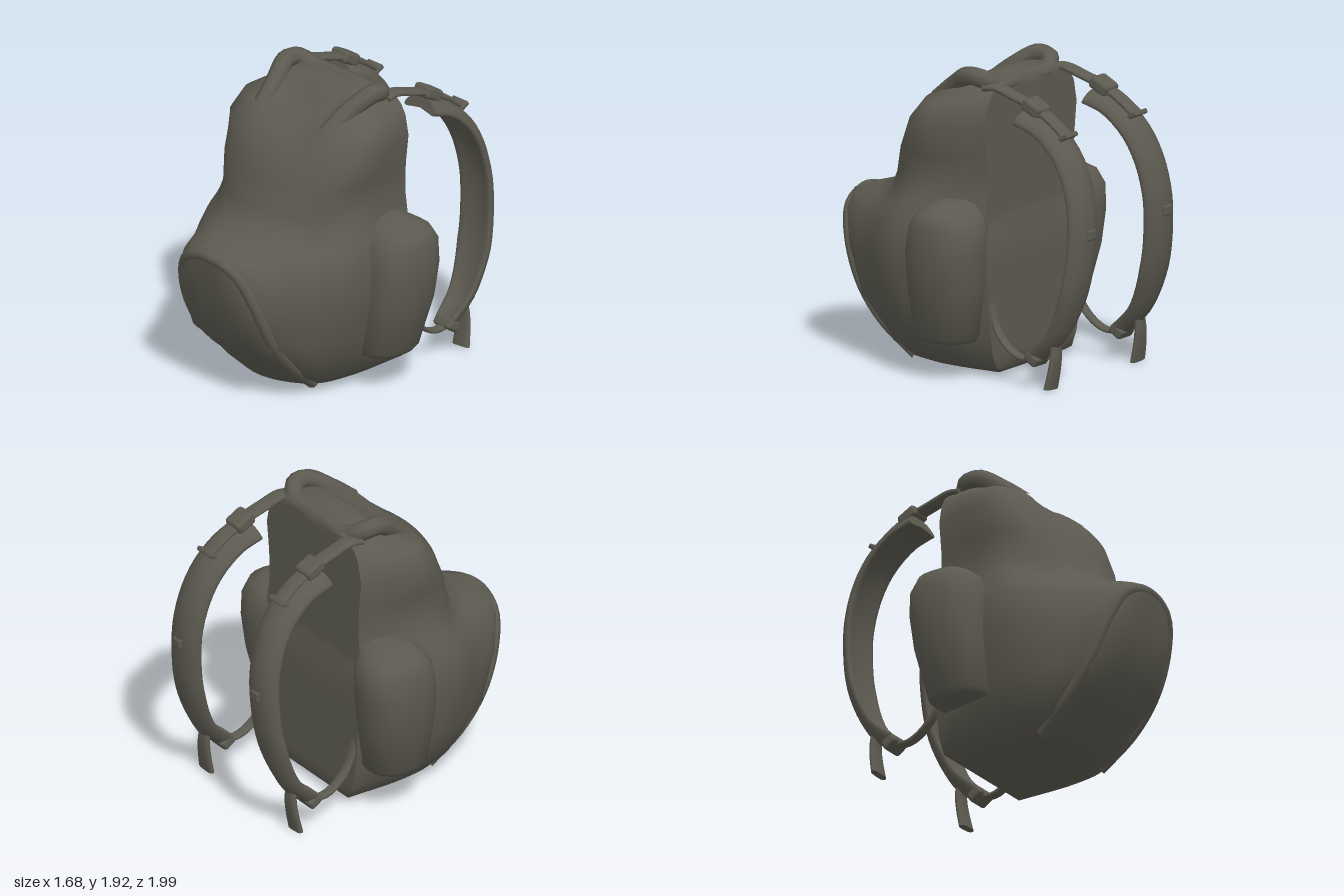
import * as THREE from 'three';
import { toCreasedNormals } from 'three/addons/utils/BufferGeometryUtils.js';
import { RoundedBoxGeometry } from 'three/addons/geometries/RoundedBoxGeometry.js';

const V = (x, y, z) => new THREE.Vector3(x, y, z);

// Skin a stack of closed rings and cap both ends; s = -1 mirrors across x.
function loft(rings, s = 1) {
  const n = rings[0].length, pos = [], idx = [];
  const tri = (a, b, c) => (s > 0 ? idx.push(a, b, c) : idx.push(a, c, b));
  rings.forEach(r => r.forEach(p => pos.push(p.x * s, p.y, p.z)));
  for (let i = 0; i < rings.length - 1; i++)
    for (let j = 0; j < n; j++) {
      const a = i * n + j, b = i * n + (j + 1) % n;
      tri(a, b, b + n);
      tri(a, b + n, a + n);
    }
  [0, rings.length - 1].forEach(i => {
    const c = rings[i].reduce((m, p) => m.add(p), V(0, 0, 0)).divideScalar(n);
    const k = pos.length / 3;
    pos.push(c.x * s, c.y, c.z);
    for (let j = 0; j < n; j++) {
      const a = i * n + j, b = i * n + (j + 1) % n;
      if (i) tri(a, b, k); else tri(b, a, k);
    }
  });
  const g = new THREE.BufferGeometry();
  g.setAttribute('position', new THREE.Float32BufferAttribute(pos, 3));
  g.setIndex(idx);
  return toCreasedNormals(g, 1.1);
}

// The straps spread slightly apart towards the bottom.
const strapX = y => .47 - .06 * y;

// Rounded band swept along (y, z) points; cup bends its edges inwards.
function band(path, width, thick, s, cup = 0) {
  const curve = new THREE.CatmullRomCurve3(path.map(([y, z]) => V(strapX(y), y, z)));
  const rings = [], steps = 28;
  for (let i = 0; i <= steps; i++) {
    const t = i / steps, p = curve.getPointAt(t), d = curve.getTangentAt(t);
    const side = V(1, 0, 0).addScaledVector(d, -d.x).normalize();
    const up = d.clone().cross(side), ring = [];
    for (let j = 0; j < 16; j++) {
      const a = j / 16 * Math.PI * 2, c = Math.cos(a);
      const u = Math.sign(c) * Math.sqrt(Math.abs(c));
      ring.push(p.clone().addScaledVector(side, u * width(t) / 2)
        .addScaledVector(up, Math.sin(a) * thick / 2 + cup * u * u));
    }
    rings.push(ring);
  }
  return loft(rings, s);
}

// Body sections: y, then half width and z at the flank and at the shoulder,
// half width of the front lobe, front z.
const BODY = [
  [.02, .30, .12, .26, .30, .14, .45],
  [.06, .40, .14, .34, .38, .18, .54],
  [.15, .48, .18, .40, .47, .23, .63],
  [.28, .54, .25, .43, .56, .27, .73],
  [.40, .58, .29, .46, .61, .29, .86],
  [.70, .64, .33, .47, .66, .29, .95],
  [.90, .63, .34, .44, .66, .25, .98],
  [.99, .60, .33, .40, .62, .16, .99],
  [1.04, .58, .31, .39, .55, .15, .82],
  [1.09, .56, .29, .41, .49, .20, .66],
  [1.20, .52, .22, .43, .43, .22, .60],
  [1.38, .53, .17, .46, .39, .25, .53],
  [1.58, .59, .18, .49, .31, .27, .44],
  [1.71, .52, .15, .42, .24, .23, .32],
  [1.77, .43, .00, .35, .12, .20, .18],
  [1.83, .35, -.08, .28, .00, .17, .05],
  [1.855, .27, -.10, .20, -.05, .10, .0],
];

function bodyGeometry() {
  return loft(BODY.map(([y, wm, zm, ws, zs, wf, zf]) => {
    // Flat back panel, a little thicker below
    const wb = Math.min(wm, .26 + .4 * wm), zb = y < .05 || y > 1.85 ? -.22 : y < .95 ? -.28 : -.25;
    const half = [[wb, zb], [wm, zm], [ws, zs], [wf, zf - .04]];
    const pts = [...half.map(([x, z]) => V(-x, y, z)), V(0, y, zf),
      ...half.reverse().map(([x, z]) => V(x, y, z))];
    const ring = new THREE.CatmullRomCurve3(pts, false, 'centripetal').getPoints(40);
    [.5, 0, -.5].forEach(f => ring.push(V(wb * f, y, zb)));
    // Sagging scoop in the lid between the handle ends
    ring.forEach(p => {
      if (y > 1.65 && p.z > .03 && Math.abs(p.x) < .28)
        p.y -= .075 * Math.cos(p.x / .28 * Math.PI / 2) * Math.min(1, p.z / .14);
    });
    return ring;
  }));
}

// Side pouch sections: y, outer x, front z, back z
const POUCH = [
  [.25, .70, .17, -.19], [.28, .72, .19, -.22], [.60, .81, .20, -.28], [.82, .84, .20, -.30],
  [.98, .825, .18, -.30], [1.06, .80, .13, -.25], [1.10, .73, .08, -.19], [1.125, .65, .02, -.12],
];

function pouchGeometry(s) {
  const square = v => Math.sign(v) * Math.pow(Math.abs(v), .85);
  const inner = .4;
  return loft(POUCH.map(([y, outer, zf, zb]) => {
    const ring = [];
    for (let i = 0; i < 20; i++) {
      const a = i / 20 * Math.PI * 2;
      ring.push(V((outer + inner) / 2 + square(Math.sin(a)) * (outer - inner) / 2, y,
        (zf + zb) / 2 + square(Math.cos(a)) * (zf - zb) / 2));
    }
    return ring;
  }), s);
}

// Tube along a path mirrored about its last point, which lies on x = 0.
function archTube(half, r) {
  const pts = [...half, ...half.slice(0, -1).reverse().map(([x, y, z]) => [-x, y, z])];
  return new THREE.TubeGeometry(new THREE.CatmullRomCurve3(pts.map(p => V(...p))), 48, r, 8);
}

export function createModel() {
  const group = new THREE.Group();
  const canvas = new THREE.MeshStandardMaterial({ color: 0x5c5a50 });
  canvas.name = 'dark olive canvas';
  const add = (name, geo, parent = group) => {
    const m = new THREE.Mesh(geo, canvas);
    m.name = name;
    parent.add(m);
    return m;
  };

  add('body', bodyGeometry());

  // Raised seam arching over the front pocket
  add('pocketSeam', archTube([[-.31, .06, .38], [-.34, .25, .60], [-.34, .45, .755],
    [-.31, .7, .865], [-.22, .9, .93], [0, .975, .955]], .04));

  // Carry handle: two arms running back and a bar along the rear edge
  add('handle', archTube([[-.29, 1.67, .24], [-.32, 1.78, .10], [-.37, 1.87, -.05],
    [-.36, 1.86, -.14], [-.27, 1.81, -.19], [0, 1.81, -.19]], .06));

  for (const s of [1, -1]) {
    const side = s > 0 ? 'left' : 'right';

    // The right pouch sits slightly higher and further back
    const pouch = add(side + 'Pouch', pouchGeometry(s));
    if (s < 0) pouch.position.set(0, .04, -.03);

    const strap = new THREE.Group();
    strap.name = side + 'Strap';
    group.add(strap);
    const box = (name, w, h, d, y, z, tilt) => {
      const m = add(name, new RoundedBoxGeometry(w, h, d, 2, Math.min(w, h, d) * .3), strap);
      m.position.set(strapX(y) * s, y, z);
      m.rotation.x = tilt;
    };

    // Padded shoulder section, narrowing towards the buckle
    add('pad', band([[1.69, -.48], [1.64, -.63], [1.505, -.79], [1.33, -.89], [1.1, -.945],
      [.9, -.945], [.7, -.92], [.5, -.86], [.33, -.77], [.2, -.63]],
      t => .27 - .12 * Math.max(0, (t - .72) / .28), .075, s, .045), strap);

    // Upper webbing from the body through the adjuster
    add('upperWebbing', band([[1.81, -.17], [1.82, -.25], [1.785, -.38], [1.74, -.52],
      [1.67, -.66], [1.58, -.78]], () => .11, .04, s), strap);
    box('adjuster', .14, .08, .14, 1.735, -.54, -.5);
    box('webbingEnd', .13, .03, .09, 1.58, -.775, .5);

    // Small keeper on the outer face of the pad
    box('keeper', .08, .07, .05, 1, -.97, 0);

    // Lower webbing, buckle and hanging tail
    add('lowerWebbing', band([[.19, -.62], [.18, -.5], [.23, -.4], [.34, -.31], [.55, -.25]],
      () => .07, .03, s), strap);
    box('buckle', .15, .07, .1, .195, -.61, -.6);
    add('tail', band([[.33, -.74], [.22, -.75], [.12, -.74], [.015, -.72]],
      t => .09 + .05 * t, .04, s), strap);
  }
  return group;
}
